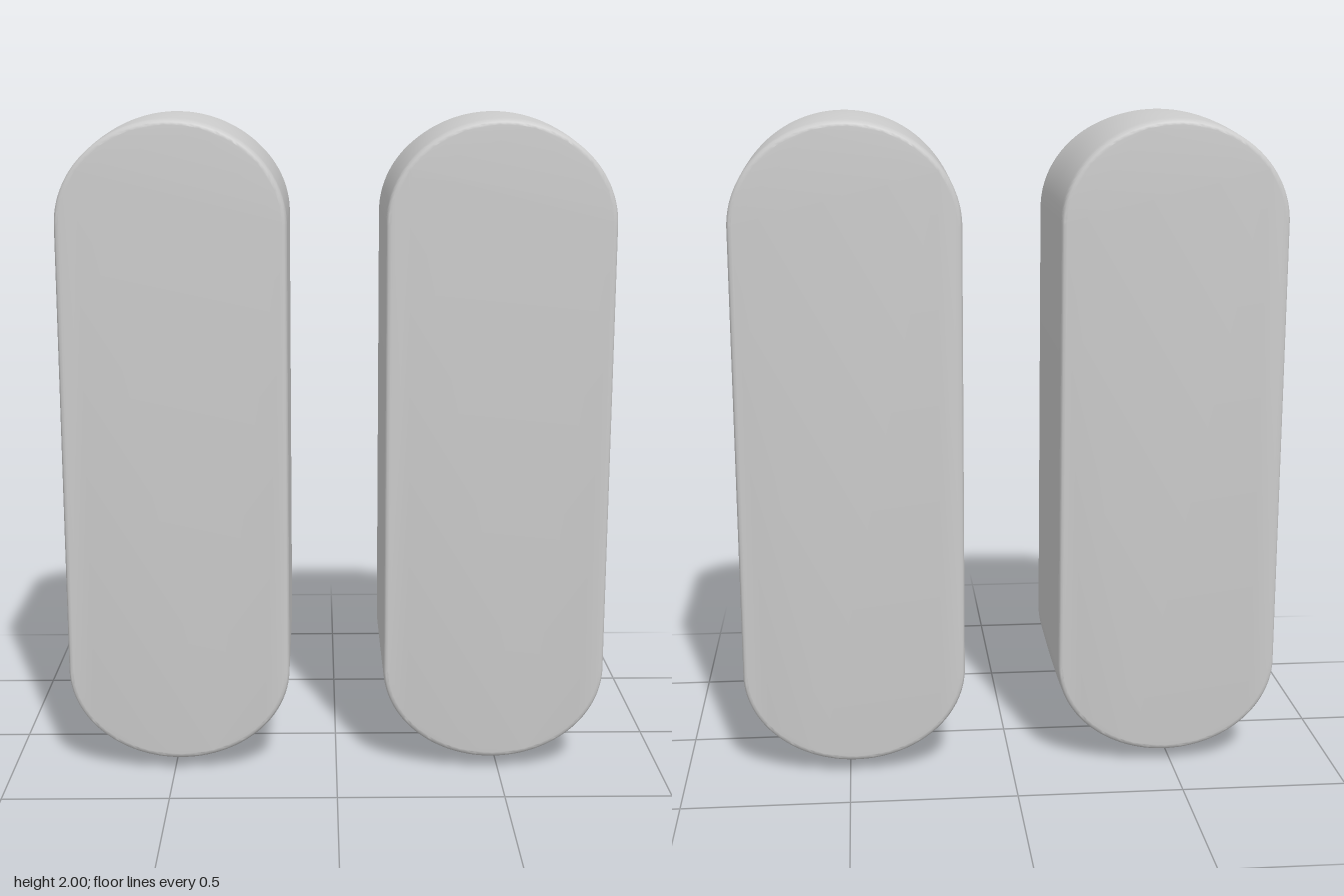
import * as THREE from 'three';
import { toCreasedNormals } from 'three/addons/utils/BufferGeometryUtils.js';

const HALF_W = 0.337, HALF_D = 0.295, BEVEL = 0.014;
const TOP = 1.68, BOTTOM = 0.325; // where the straight sides meet the rounded ends

// Upright capsule outline, extruded along z with a small bevel
function pillarGeometry() {
  const shape = new THREE.Shape();
  shape.moveTo(HALF_W, BOTTOM);
  shape.lineTo(HALF_W, TOP);
  shape.absellipse(0, TOP, HALF_W, 2 - TOP, 0, Math.PI, false, 0);
  shape.lineTo(-HALF_W, BOTTOM);
  shape.absellipse(0, BOTTOM, HALF_W, BOTTOM, Math.PI, Math.PI * 2, false, 0);

  const geo = new THREE.ExtrudeGeometry(shape, {
    depth: 2 * (HALF_D - BEVEL), steps: 20, curveSegments: 40,
    bevelThickness: BEVEL, bevelSize: BEVEL, bevelOffset: -BEVEL, bevelSegments: 3,
  });
  geo.translate(0, 0, -(HALF_D - BEVEL));

  // Crown both ends: they are highest mid-depth and sink towards the faces
  const pos = geo.attributes.position;
  for (let i = 0; i < pos.count; i++) {
    const y = pos.getY(i), t = (pos.getZ(i) / HALF_D) ** 2;
    if (y > TOP) pos.setY(i, TOP + (y - TOP) * (1 - 0.06 * t));
    else if (y < BOTTOM) pos.setY(i, BOTTOM + (y - BOTTOM) * (1 - 0.13 * t));
  }
  return toCreasedNormals(geo, 0.6);
}

export function createModel() {
  const group = new THREE.Group();
  group.name = 'pillarPair';
  const material = new THREE.MeshStandardMaterial({ color: 0xcccccc });
  const geometry = pillarGeometry();
  for (const [name, side] of [['leftPillar', 1], ['rightPillar', -1]]) {
    const pillar = new THREE.Mesh(geometry, material);
    pillar.name = name;
    pillar.position.x = side * 0.481;
    group.add(pillar);
  }
  return group;
}
